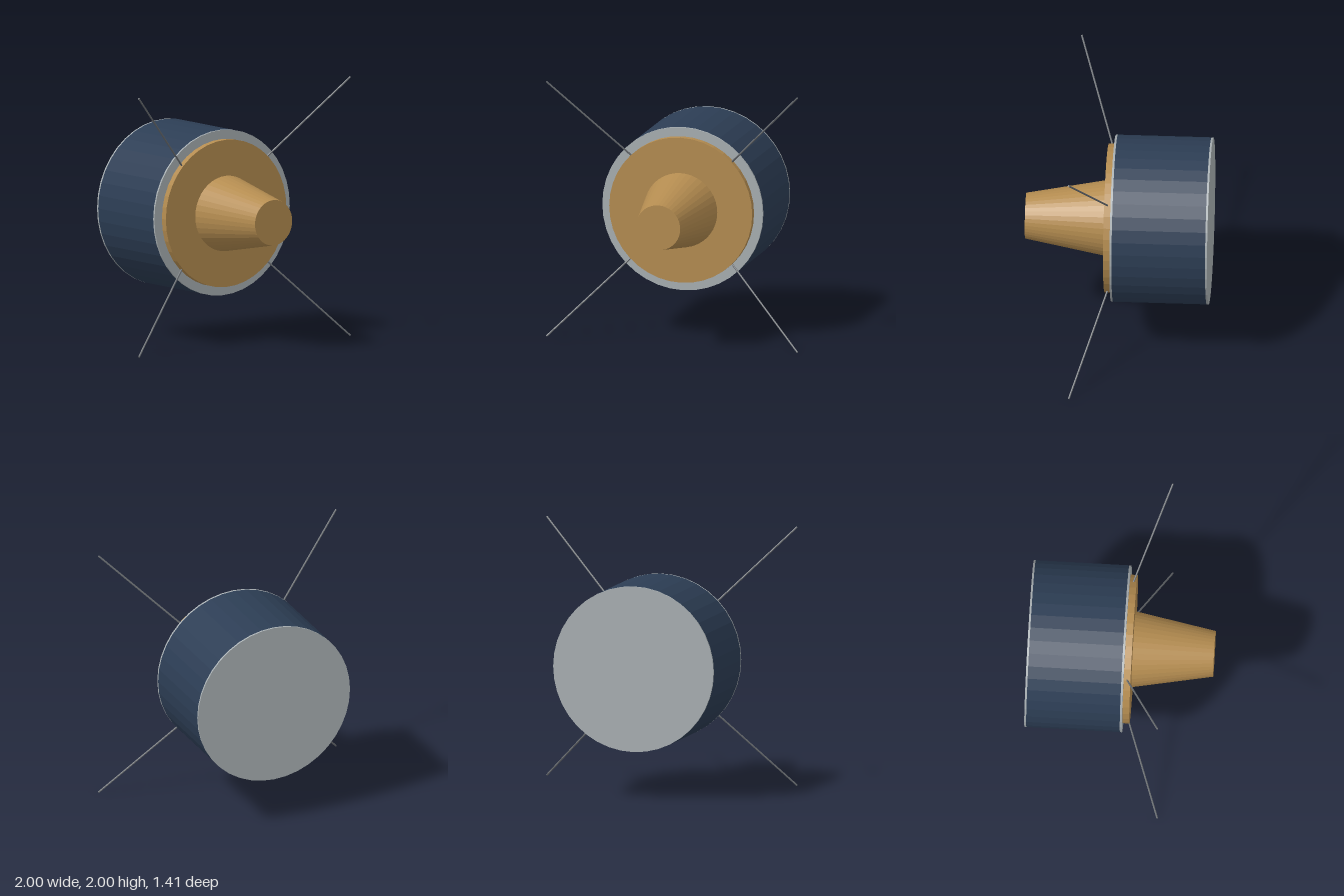
import * as THREE from 'three';

const material = (name, color) => new THREE.MeshStandardMaterial({ name, color, flatShading: true });

export function createModel() {
  const gold = material('gold foil', 0xb48c50);
  const navy = material('navy panels', 0x2c3d54);
  const silver = material('silver rim', 0xa8afb2);
  const steel = material('antenna steel', 0x6c7074);

  const model = new THREE.Group();
  model.name = 'satellite';

  // Drum section along z, from back to front
  function drum(name, mat, rBack, rFront, zBack, zFront) {
    const geo = new THREE.CylinderGeometry(rFront, rBack, zFront - zBack, 40);
    geo.rotateX(Math.PI / 2);
    const mesh = new THREE.Mesh(geo, mat);
    mesh.name = name;
    mesh.position.set(0, 1, (zBack + zFront) / 2);
    model.add(mesh);
  }

  drum('rearRim', silver, 0.637, 0.637, -0.707, -0.692);
  drum('body', navy, 0.637, 0.637, -0.692, 0.022);
  drum('frontRim', silver, 0.637, 0.637, 0.022, 0.038);
  drum('frontPlate', gold, 0.567, 0.567, 0.038, 0.09);
  drum('nozzle', gold, 0.29, 0.175, 0.09, 0.707);

  // Four whip antennas splayed forward from the plate edge
  const up = new THREE.Vector3(0, 1, 0);
  for (const sx of [-1, 1]) {
    for (const sy of [-1, 1]) {
      const start = new THREE.Vector3(0.4 * sx, 1 + 0.4 * sy, 0.065);
      const end = new THREE.Vector3(0.995 * sx, 1 + 0.995 * sy, 0.33);
      const dir = end.clone().sub(start);
      const rod = new THREE.Mesh(new THREE.CylinderGeometry(0.007, 0.007, dir.length(), 8), steel);
      rod.name = (sy > 0 ? 'upper' : 'lower') + (sx > 0 ? 'Left' : 'Right') + 'Antenna';
      rod.position.copy(start).add(end).multiplyScalar(0.5);
      rod.quaternion.setFromUnitVectors(up, dir.normalize());
      model.add(rod);
    }
  }
  return model;
}
